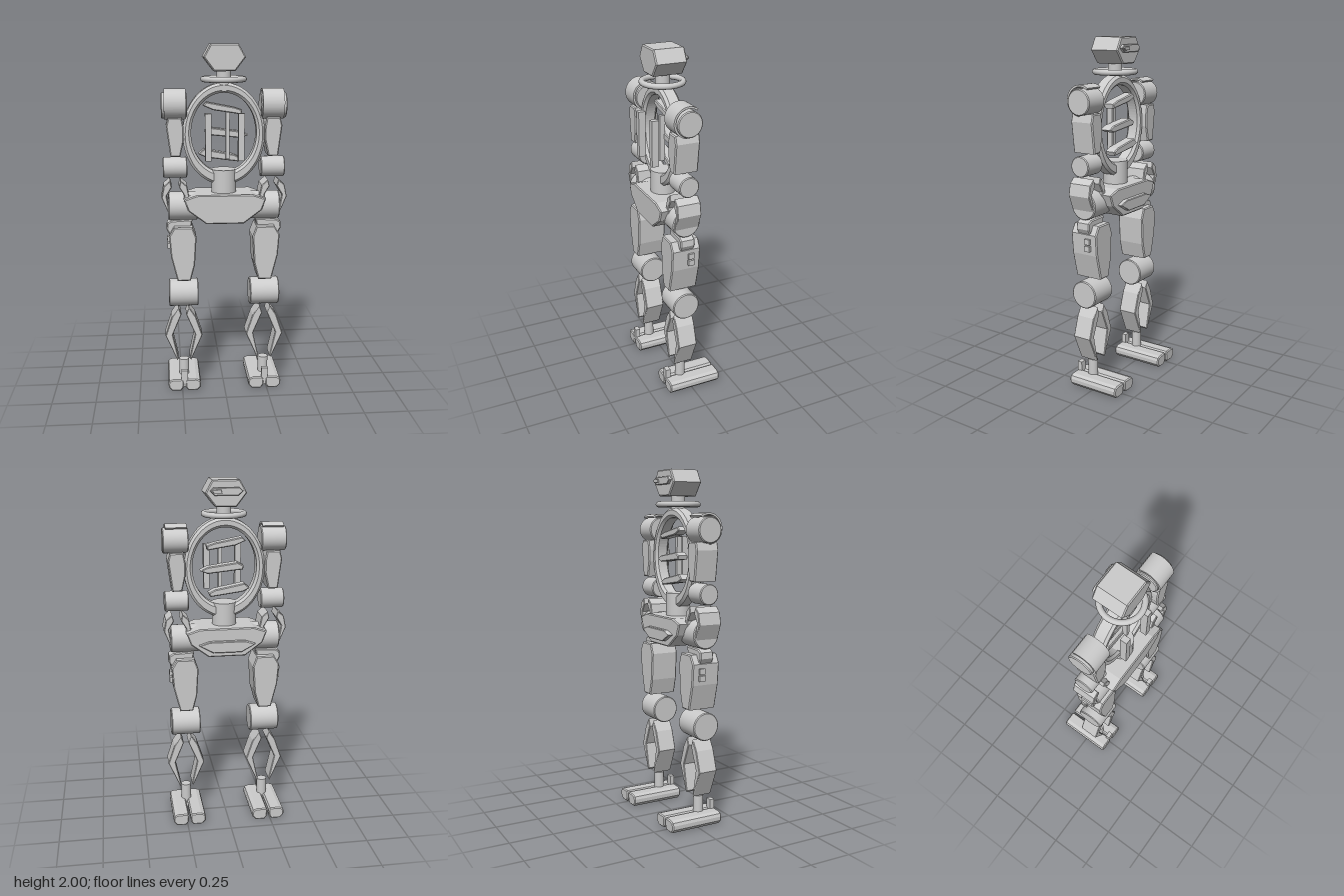
import * as THREE from 'three';

const material = new THREE.MeshStandardMaterial({ color: 0xcccccc });
const Z = 0.045; // depth of the main body axis

export function createModel() {
  const root = new THREE.Group();

  const add = (name, geometry, x = 0, y = 0, z = 0, parent = root) => {
    const mesh = new THREE.Mesh(geometry, material);
    mesh.name = name;
    mesh.position.set(x, y, z);
    parent.add(mesh);
    return mesh;
  };

  // Bevelled plate: front outline pushed through z0..z1
  const plate = (name, points, z0, z1, parent = root, bevel = 0.006) => {
    const shape = points instanceof THREE.Shape ? points
      : new THREE.Shape(points.map(([x, y]) => new THREE.Vector2(x, y)));
    const geometry = new THREE.ExtrudeGeometry(shape, {
      depth: z1 - z0 - 2 * bevel, bevelEnabled: bevel > 0, bevelSize: bevel,
      bevelThickness: bevel, bevelOffset: -bevel, bevelSegments: 1, curveSegments: 40,
    });
    return add(name, geometry, 0, 0, z0 + bevel, parent);
  };

  const box = (name, x0, x1, y0, y1, z0, z1, parent = root) =>
    add(name, new THREE.BoxGeometry(x1 - x0, y1 - y0, z1 - z0),
      (x0 + x1) / 2, (y0 + y1) / 2, (z0 + z1) / 2, parent);

  // Joint barrel lying along x, with chamfered rims
  const barrel = (name, r, x0, x1, y, parent) => {
    const h = (x1 - x0) / 2, c = 0.005;
    const profile = [[0, -h], [r - c, -h], [r - c, -h], [r, -h + c], [r, -h + c],
      [r, h - c], [r, h - c], [r - c, h], [r - c, h], [0, h]];
    const g = new THREE.LatheGeometry(profile.map(([a, b]) => new THREE.Vector2(a, b)), 40);
    g.rotateZ(-Math.PI / 2);
    return add(name, g, (x0 + x1) / 2, y, Z, parent);
  };

  const mirror = (half) => [...half, ...half.map(([x, y]) => [-x, y]).reverse()];

  // Head, rear visor and neck
  plate('head', mirror([[0.075, 2], [0.115, 1.93], [0.057, 1.855]]), -0.048, 0.13);
  plate('visor', mirror([[0.07, 1.96], [0.09, 1.942], [0.065, 1.918]]), -0.065, -0.044, root, 0.003);
  plate('visorLens', [[0.03, 1.95], [0.07, 1.95], [0.08, 1.942], [0.07, 1.93], [0.025, 1.93]],
    -0.073, -0.062, root, 0.002);
  add('neck', new THREE.CylinderGeometry(0.04, 0.04, 0.12, 32), 0, 1.805, Z);
  const collar = new THREE.TorusGeometry(0.112, 0.016, 16, 56);
  collar.rotateX(Math.PI / 2);
  add('collarRing', collar, 0, 1.81, Z);

  // Oval chest frame
  const frame = new THREE.Shape().absellipse(0, 1.508, 0.23, 0.284, 0, Math.PI * 2);
  frame.holes.push(new THREE.Path().absellipse(0, 1.515, 0.183, 0.222, 0, Math.PI * 2, true));
  plate('chestFrame', frame, 0, 0.085, root, 0.014);

  // Ribs, spine and front bars inside the frame
  const ribs = [
    [[-0.115, 1.665], [-0.095, 1.685], [0.06, 1.655], [0.105, 1.64], [0.1, 1.615], [-0.06, 1.64]],
    [[-0.105, 1.525], [-0.07, 1.543], [0.1, 1.52], [0.14, 1.5], [0.1, 1.483], [-0.1, 1.503]],
    [[-0.14, 1.395], [-0.11, 1.423], [0.06, 1.39], [0.095, 1.372], [0.085, 1.35], [-0.1, 1.375]],
  ];
  ribs.forEach((p) => plate('rib', p, -0.015, 0.05, root, 0.005));
  box('spine', 0.01, 0.032, 1.37, 1.63, 0.045, 0.075);
  for (const x of [-0.092, 0.09]) box('chestBar', x - 0.017, x + 0.017, 1.37, 1.63, 0.115, 0.155);

  // Waist and pelvis
  add('waist', new THREE.CylinderGeometry(0.07, 0.07, 0.13, 40), 0, 1.245, Z);
  plate('pelvis', mirror([[0.155, 1.18], [0.23, 1.155], [0.205, 1.09], [0.105, 1.015]]), -0.08, 0.16);
  plate('pelvisBackPlate', mirror([[0.1, 1.11], [0.16, 1.09], [0.08, 1.045]]), -0.105, -0.07, root, 0.004);

  for (const s of [1, -1]) {
    const side = s > 0 ? 'left' : 'right';
    const arm = new THREE.Group();
    const leg = new THREE.Group();
    arm.name = side + 'Arm';
    leg.name = side + 'Leg';
    root.add(arm, leg);
    const flip = (points) => points.map(([x, y]) => [x * s, y]);
    const span = (a, b) => (s > 0 ? [a, b] : [-b, -a]);
    // Pair of bent struts facing each other about a centre line
    const struts = (name, centre, points, z0, z1, parent) => {
      for (const k of [1, -1])
        plate(name, flip(points.map(([d, y]) => [centre + k * d, y])), z0, z1, parent, 0.004);
    };

    // Shoulder with curved cover over its top and front
    barrel('shoulder', 0.071, ...span(0.205, 0.348), 1.668, arm);
    const arc = new THREE.Shape();
    arc.absarc(0, 0, 0.085, 0.3 * Math.PI, 1.45 * Math.PI, false);
    arc.absarc(0, 0, 0.074, 1.45 * Math.PI, 0.3 * Math.PI, true);
    const cover = new THREE.ExtrudeGeometry(arc, { depth: 0.12, bevelEnabled: false, curveSegments: 32 });
    cover.translate(0, 0, -0.06).rotateY(Math.PI / 2);
    add('shoulderCover', cover, s * 0.272, 1.675, Z, arm);

    // Arm
    plate('upperArm', flip([[0.235, 1.605], [0.31, 1.605], [0.322, 1.56], [0.3, 1.39],
      [0.245, 1.39], [0.225, 1.48], [0.225, 1.55]]), -0.025, 0.115, arm);
    barrel('elbow', 0.058, ...span(0.207, 0.343), 1.322, arm);
    struts('forearmStrut', 0.275, [[0.03, 1.255], [0.065, 1.225], [0.078, 1.16], [0.042, 1.075],
      [0.037, 1.09], [0.05, 1.17], [0.02, 1.22]], -0.024, 0.116, arm);

    // Hip joint, bracket and side studs
    barrel('hip', 0.08, ...span(0.15, 0.315), 1.1, leg);
    plate('hipBracket', flip([[0.18, 1.025], [0.3, 1.02], [0.325, 1.005], [0.328, 0.97],
      [0.3, 0.92], [0.2, 0.92]]), 0, 0.085, leg);
    for (const y of [0.9, 0.86])
      box('thighStud', ...span(0.28, 0.325), y - 0.016, y + 0.016, 0, 0.035, leg);

    // Thigh, knee and shin
    plate('thigh', flip([[0.182, 0.99], [0.285, 0.99], [0.315, 0.94], [0.306, 0.82],
      [0.27, 0.675], [0.195, 0.675], [0.17, 0.77], [0.16, 0.93]]), -0.04, 0.13, leg);
    barrel('knee', 0.08, ...span(0.15, 0.32), 0.582, leg);
    struts('shinStrut', 0.237, [[0.03, 0.505], [0.07, 0.445], [0.108, 0.33], [0.04, 0.175],
      [0.033, 0.185], [0.066, 0.335], [0.014, 0.46]], -0.013, 0.102, leg);

    // Ankle and two-bar foot
    add('ankle', new THREE.CylinderGeometry(0.029, 0.029, 0.13, 28), s * 0.237, 0.1, Z, leg);
    box('footBridge', ...span(0.2, 0.275), 0.02, 0.055, 0.015, 0.135, leg);
    box('toePeg', ...span(0.218, 0.256), 0.045, 0.125, 0.115, 0.143, leg);
    for (const k of [1, -1])
      plate('footBar', flip([[0.012, 0.07], [0.068, 0.07], [0.09, 0.062], [0.096, 0.045], [0.095, 0.022],
        [0.075, 0], [0.022, 0], [0.008, 0.018], [0.004, 0.058]].map(([d, y]) => [0.237 + k * d, y])),
        -0.175, 0.145, leg);
  }
  return root;
}
